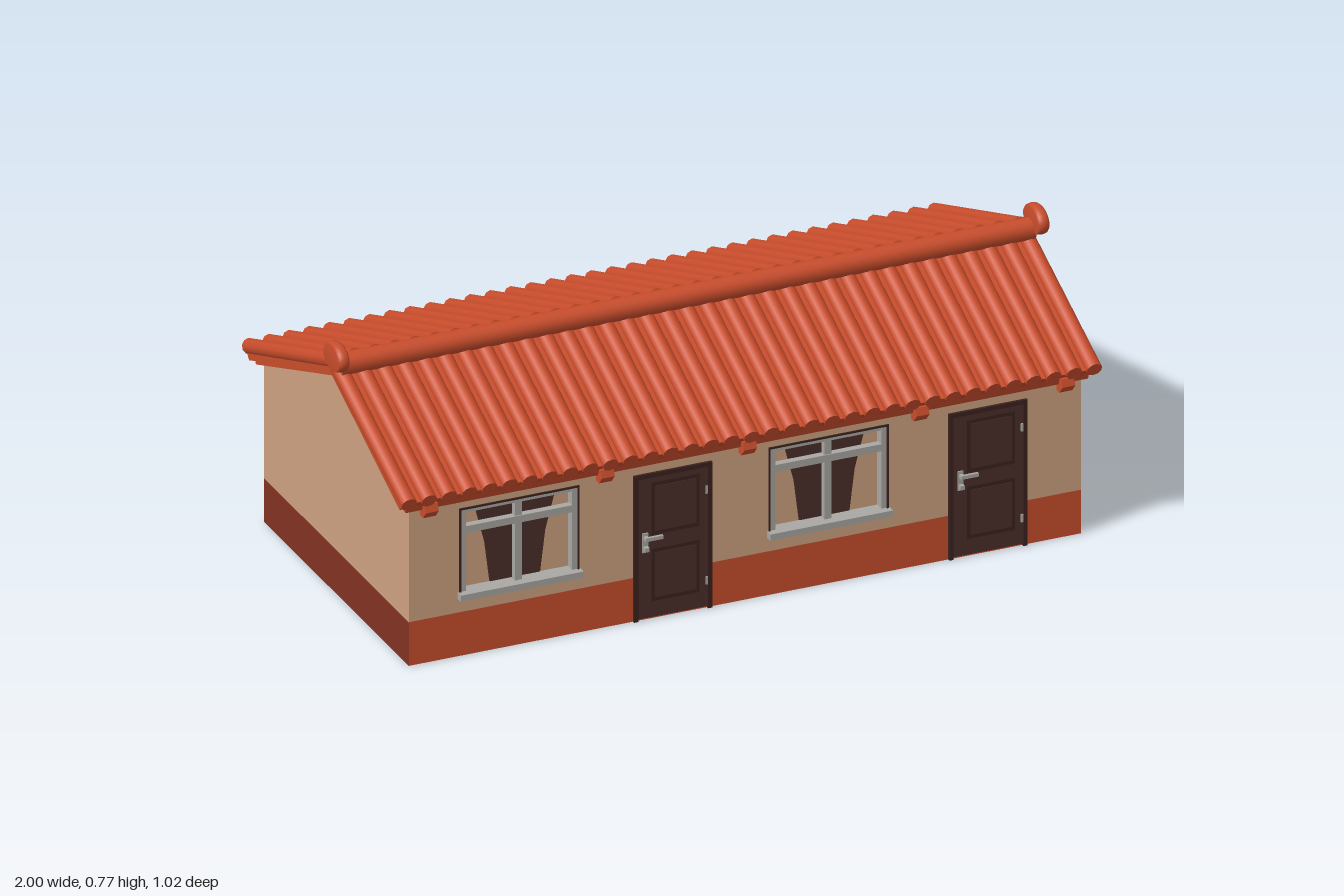
import * as THREE from 'three';

const mat = (name, color) => {
  const m = new THREE.MeshStandardMaterial({ color });
  m.name = name;
  return m;
};

export function createModel() {
  const house = new THREE.Group();
  house.name = 'house';
  const plaster = mat('tan plaster', 0xcfa180);
  const red = mat('terracotta', 0xc94d2c);
  const darkRed = mat('dark red plinth', 0x833222);
  const brown = mat('dark brown wood', 0x4b2d27);
  const shade = mat('deep brown trim', 0x3a221e);
  const grey = mat('grey frame', 0xaaa8a3);

  const add = (parent, name, geo, material, x = 0, y = 0, z = 0) => {
    const m = new THREE.Mesh(geo, material);
    m.name = name;
    m.position.set(x, y, z);
    parent.add(m);
    return m;
  };
  const box = (parent, name, material, w, h, d, x, y, z) =>
    add(parent, name, new THREE.BoxGeometry(w, h, d), material, x, y, z);
  const shapeOf = (pts) => new THREE.Shape(pts.map(([x, y]) => new THREE.Vector2(x, y)));
  // Extrudes a [z, y] section along x, centred
  const alongX = (pts, length) => {
    const g = new THREE.ExtrudeGeometry(shapeOf(pts.map(([z, y]) => [-z, y])), { depth: length, bevelEnabled: false });
    return g.translate(0, 0, -length / 2).rotateY(Math.PI / 2);
  };

  // Plinth: the gable ends are a darker red
  add(house, 'plinth', new THREE.BoxGeometry(1.89, 0.125, 0.915),
    [darkRed, darkRed, red, brown, red, red], 0, 0.0625, 0.0025);

  // Gabled core, set back behind the window walls
  add(house, 'gableBody', alongX([[0.43, 0.125], [0.43, 0.468], [0.035, 0.645], [-0.425, 0.468], [-0.425, 0.125]], 1.89), plaster);

  // Front and back walls with window openings
  const windowX = [-0.635, 0.235];
  const wallShape = shapeOf([[-0.945, 0.125], [0.945, 0.125], [0.945, 0.462], [-0.945, 0.462]]);
  for (const x of windowX) {
    const hole = new THREE.Path();
    hole.moveTo(x - 0.165, 0.17).lineTo(x - 0.165, 0.42).lineTo(x + 0.165, 0.42).lineTo(x + 0.165, 0.17).closePath();
    wallShape.holes.push(hole);
  }
  const wallGeo = new THREE.ExtrudeGeometry(wallShape, { depth: 0.03, bevelEnabled: false });
  add(house, 'frontWall', wallGeo, plaster, 0, 0, 0.43);
  add(house, 'backWall', wallGeo, plaster, 0, 0, -0.455);

  // Windows: dark pane between pale curtains, grey bars and a sill
  const makeWindow = (x, z, turn) => {
    const w = new THREE.Group();
    w.name = 'window';
    w.position.set(x, 0, z);
    w.rotation.y = turn;
    const pane = shapeOf([[-0.07, 0.18], [0.07, 0.18], [0.085, 0.3], [0.115, 0.415], [-0.115, 0.415], [-0.085, 0.3]]);
    add(w, 'pane', new THREE.ExtrudeGeometry(pane, { depth: 0.005, bevelEnabled: false }), brown, 0, 0, -0.03);
    for (const s of [-1, 1]) {
      box(w, 'jamb', grey, 0.016, 0.245, 0.026, s * 0.157, 0.295, -0.013);
      box(w, 'trim', shade, 0.005, 0.255, 0.008, s * 0.1665, 0.295, 0);
    }
    box(w, 'headTrim', shade, 0.338, 0.005, 0.008, 0, 0.42, 0);
    box(w, 'head', grey, 0.33, 0.012, 0.022, 0, 0.412, -0.014);
    box(w, 'mullion', grey, 0.02, 0.24, 0.018, 0, 0.295, -0.012);
    box(w, 'rail', grey, 0.31, 0.02, 0.02, 0, 0.358, -0.01);
    box(w, 'sill', grey, 0.345, 0.018, 0.048, 0, 0.174, -0.003);
    house.add(w);
  };
  for (const x of windowX) {
    makeWindow(x, 0.46, 0);
    makeWindow(x, -0.455, Math.PI);
  }

  // Doors with raised panels, hinges and a lever handle
  for (const x of [-0.205, 0.682]) {
    const d = new THREE.Group();
    d.name = 'door';
    d.position.set(x, 0, 0.46);
    box(d, 'leaf', brown, 0.2, 0.4, 0.008, 0, 0.205, 0);
    for (const s of [-1, 1]) {
      box(d, 'jamb', shade, 0.012, 0.418, 0.016, s * 0.104, 0.209, 0);
    }
    box(d, 'lintel', shade, 0.22, 0.012, 0.016, 0, 0.412, 0);
    for (const [y, h] of [[0.315, 0.15], [0.125, 0.15]]) {
      box(d, 'panelGroove', shade, 0.136, h, 0.004, 0.008, y, 0.003);
      box(d, 'panel', brown, 0.116, h - 0.022, 0.006, 0.008, y, 0.004);
    }
    box(d, 'handlePlate', grey, 0.016, 0.055, 0.006, -0.078, 0.222, 0.005);
    box(d, 'handleStem', grey, 0.01, 0.01, 0.02, -0.078, 0.237, 0.01);
    box(d, 'handleLever', grey, 0.05, 0.01, 0.008, -0.058, 0.237, 0.018);
    box(d, 'lock', grey, 0.012, 0.012, 0.02, -0.078, 0.207, 0.01);
    for (const y of [0.08, 0.34]) box(d, 'hinge', grey, 0.006, 0.022, 0.008, 0.095, y, 0.004);
    house.add(d);
  }

  // Roof deck and the soffit board below it
  add(house, 'soffit', alongX([[0.472, 0.446], [0.478, 0.463], [0.035, 0.662], [-0.478, 0.463], [-0.472, 0.446], [0.035, 0.642]], 1.92), red);
  add(house, 'roofDeck', alongX([[0.475, 0.46], [0.498, 0.484], [0.035, 0.688], [-0.498, 0.484], [-0.475, 0.46], [0.035, 0.659]], 1.955), red);

  // Rounded tile rows running down both slopes
  const rows = 35, radius = 0.0215, step = (1.97 - 2 * radius) / (rows - 1);
  const up = new THREE.Vector3(0, 1, 0);
  for (const s of [-1, 1]) {
    const eave = new THREE.Vector3(0, 0.485, s * 0.504);
    const ridge = new THREE.Vector3(0, 0.689, 0.035);
    const run = new THREE.Vector3().subVectors(ridge, eave);
    const geo = new THREE.CylinderGeometry(radius, radius, run.length(), 10);
    geo.applyQuaternion(new THREE.Quaternion().setFromUnitVectors(up, run.clone().normalize()));
    const mid = eave.clone().add(ridge).multiplyScalar(0.5);
    for (let i = 0; i < rows; i++) {
      add(house, 'tileRow', geo, red, -0.985 + radius + i * step, mid.y, mid.z);
    }
  }

  // Ridge roll with rounded oval ends
  add(house, 'ridgeRoll', new THREE.CylinderGeometry(0.03, 0.03, 1.95, 16).rotateZ(Math.PI / 2), red, 0, 0.7, 0.085);
  const capProfile = [[0, -0.016], [0.85, -0.016], [0.96, -0.011], [1, 0], [0.96, 0.011], [0.85, 0.016], [0, 0.016]]
    .map(([r, y]) => new THREE.Vector2(r, y));
  const capGeo = new THREE.LatheGeometry(capProfile, 28).rotateZ(Math.PI / 2).scale(1, 0.039, 0.056);
  for (const s of [-1, 1]) add(house, 'ridgeEnd', capGeo, red, s * 0.984, 0.728, 0.091);

  // Rafter tails under the eaves
  const tail = [[0.44, 0.425], [0.478, 0.425], [0.497, 0.447], [0.49, 0.468], [0.44, 0.468]];
  for (const x of [-0.895, -0.4, 0, 0.485, 0.895]) {
    add(house, 'rafterTail', alongX(tail, 0.036), red, x);
    add(house, 'rafterTail', alongX(tail.map(([z, y]) => [-z, y]).reverse(), 0.036), red, x);
  }
  return house;
}
